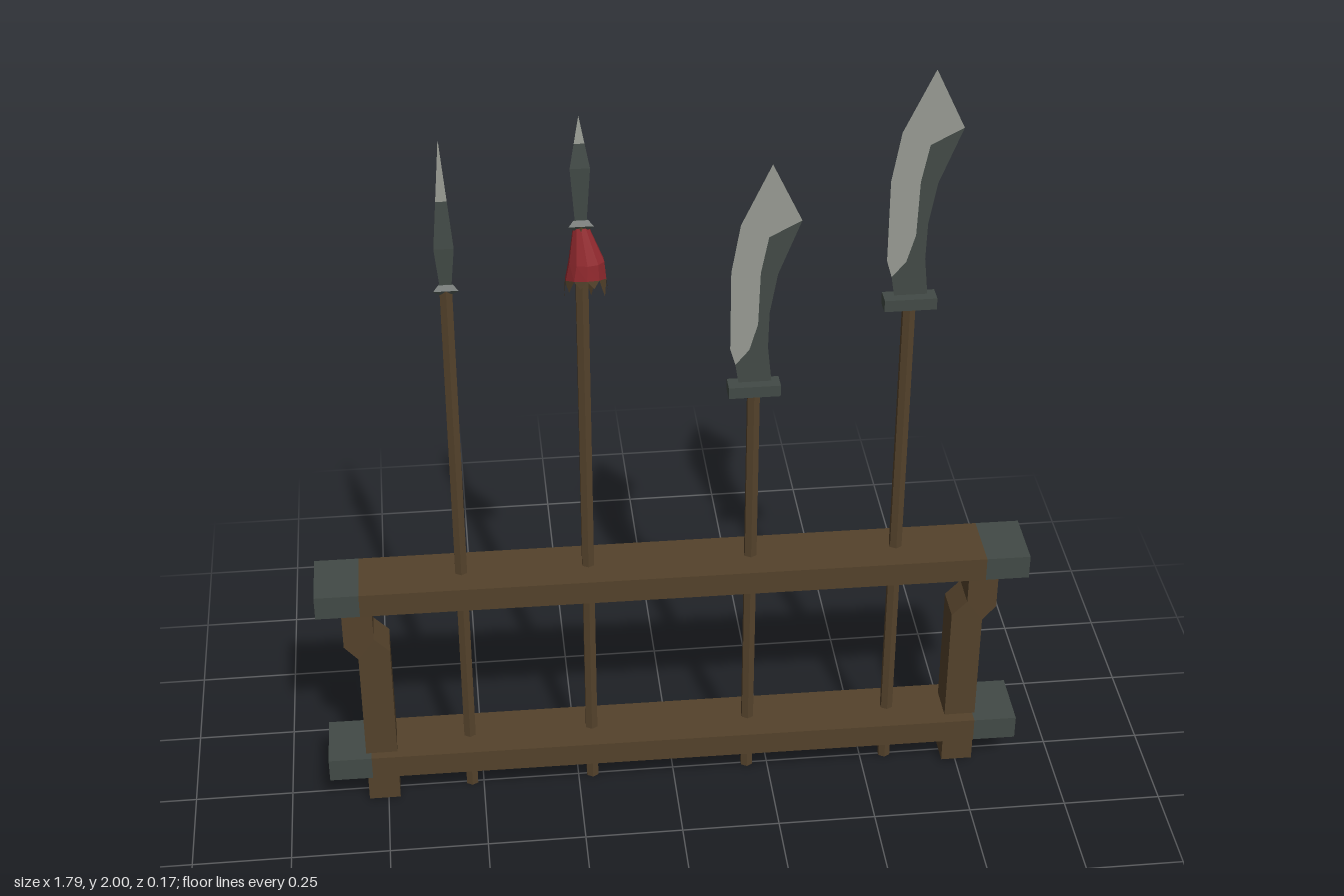
import * as THREE from 'three';

const mat = (name, color) => {
  const m = new THREE.MeshStandardMaterial({ color, flatShading: true, side: THREE.DoubleSide });
  m.name = name;
  return m;
};

export function createModel() {
  const wood = mat('brown wood', 0x54422b);
  const iron = mat('dark iron', 0x424a46);
  const steel = mat('pale steel', 0x979a92);
  const red = mat('red cloth', 0x962b30);

  const model = new THREE.Group();
  model.name = 'weaponRack';

  const add = (parent, name, geometry, material, x = 0, y = 0, z = 0) => {
    const mesh = new THREE.Mesh(geometry, material);
    mesh.name = name;
    mesh.position.set(x, y, z);
    parent.add(mesh);
    return mesh;
  };

  const group = (name, x = 0, y = 0, z = 0) => {
    const g = new THREE.Group();
    g.name = name;
    g.position.set(x, y, z);
    model.add(g);
    return g;
  };

  // Box without some faces (0 +x, 1 -x, 2 top, 3 bottom, 4 front, 5 back)
  const openBox = (w, h, d, skip) => {
    const g = new THREE.BoxGeometry(w, h, d);
    const all = Array.from(g.index.array);
    g.setIndex(all.filter((_, i) => !skip.includes(Math.floor(i / 6))));
    g.clearGroups();
    return g;
  };

  // Hollow rails, open underneath, with iron end caps
  for (const [name, y] of [['lowerRail', 0.131], ['upperRail', 0.652]]) {
    const rail = group(name, 0, y, 0.003);
    rail.rotation.y = -0.006;
    add(rail, 'railBody', openBox(1.57, 0.064, 0.158, [0, 1, 3]), wood);
    for (const s of [-1, 1]) {
      add(rail, 'railCap', openBox(0.11, 0.064, 0.158, [s > 0 ? 1 : 0, 3]), iron, s * 0.84);
    }
  }

  // Legs, stepped outward near the top
  for (const s of [-1, 1]) {
    const outline = [
      [0.715, 0.01], [0.795, 0.01], [0.795, 0.47], [0.829, 0.51],
      [0.829, 0.68], [0.753, 0.68], [0.753, 0.53], [0.715, 0.49],
    ].map(([x, y]) => new THREE.Vector2(s * x, y));
    const g = new THREE.ExtrudeGeometry(new THREE.Shape(outline), { depth: 0.092, bevelEnabled: false });
    add(model, s > 0 ? 'leftLeg' : 'rightLeg', g, wood, -0.004, 0, -0.037);
  }

  const addPole = (parent, height) =>
    add(parent, 'pole', new THREE.CylinderGeometry(0.017, 0.017, height, 6), wood, 0, height / 2, 0);

  // Three-sided turned part; one ridge faces the back
  const prism = (points) =>
    new THREE.LatheGeometry(points.map(([r, y]) => new THREE.Vector2(r, y)), 3, Math.PI);

  // Spears: collar, iron blade base and pale tip
  const addSpear = (name, x, height, wide, split, tip) => {
    const spear = group(name, x);
    addPole(spear, height);
    add(spear, 'collar', prism([[0, -0.012], [0.02, -0.012], [0.034, 0], [0.02, 0.013], [0, 0.013]]),
      iron, 0, height, 0);
    const maxR = 0.027;
    const splitR = maxR * (tip - split) / (tip - wide);
    add(spear, 'bladeBase', prism([[0.015, height], [maxR, wide], [splitR, split]]), iron);
    add(spear, 'bladeTip', prism([[splitR, split], [0, tip]]), steel);
    return spear;
  };
  addSpear('plainSpear', -0.53, 1.5, 1.61, 1.73, 1.885);
  const tasselSpear = addSpear('tasselSpear', -0.213, 1.652, 1.8, 1.86, 1.927);

  // Tassel: cloth skirt leaning back, with ragged brown ends
  const n = 10;
  const ring = (y, slope, rx, rz, cx, cz, i) => {
    const a = (i / n) * Math.PI * 2;
    return [cx + rx * Math.sin(a), y + slope * Math.cos(a), cz + rz * Math.cos(a)];
  };
  const top = (i) => ring(1.645, 0, 0.018, 0.016, 0, 0, i);
  const mid = (i) => ring(1.55, 0.005, 0.043, 0.038, 0.012, -0.005, i);
  const hem = (i) => ring(1.495, 0.02, 0.05, 0.05, 0.01, -0.017, i);
  const end = (i) => {
    const p = ring(1.452, 0.03, 0.052, 0.058, 0.011, -0.026, i + 0.5);
    p[1] += [0.012, -0.012, 0.004][i % 3];
    return p;
  };
  const cloth = [];
  const ragged = [];
  for (let i = 0; i < n; i++) {
    for (const [up, low] of [[top, mid], [mid, hem]]) {
      cloth.push(...up(i), ...low(i), ...low(i + 1), ...up(i), ...low(i + 1), ...up(i + 1));
    }
    ragged.push(...hem(i), ...end(i), ...hem(i + 1));
  }
  const surface = (positions) => {
    const g = new THREE.BufferGeometry();
    g.setAttribute('position', new THREE.Float32BufferAttribute(positions, 3));
    g.computeVertexNormals();
    return g;
  };
  add(tasselSpear, 'tassel', surface(cloth), red);
  add(tasselSpear, 'tasselEnds', surface(ragged), wood);

  // Glaives: flat blade with a pale cutting side and an iron spine
  const plate = (points) =>
    new THREE.ShapeGeometry(new THREE.Shape(points.map(([x, y]) => new THREE.Vector2(x, y))));
  const seam = [[0.107, 0.435], [0.03, 0.395], [0.012, 0.3], [0.008, 0.16], [-0.012, 0.09], [-0.045, 0.05]];
  const edge = [[-0.058, 0.095], [-0.058, 0.305], [-0.037, 0.43], [0.035, 0.585]];
  const spine = [[-0.037, 0], [0.043, 0], [0.033, 0.095], [0.035, 0.19], [0.053, 0.295]];
  for (const [name, x, height] of [['shortGlaive', 0.196, 1.165], ['tallGlaive', 0.565, 1.385]]) {
    const glaive = group(name, x);
    addPole(glaive, height);
    add(glaive, 'guard', new THREE.BoxGeometry(0.126, 0.03, 0.044), iron, 0, height + 0.015, 0.003);
    add(glaive, 'bladeEdge', plate([...seam, ...edge]), steel, 0, height + 0.03, 0);
    add(glaive, 'bladeSpine', plate([...seam, ...spine]), iron, 0, height + 0.03, 0);
  }

  return model;
}
